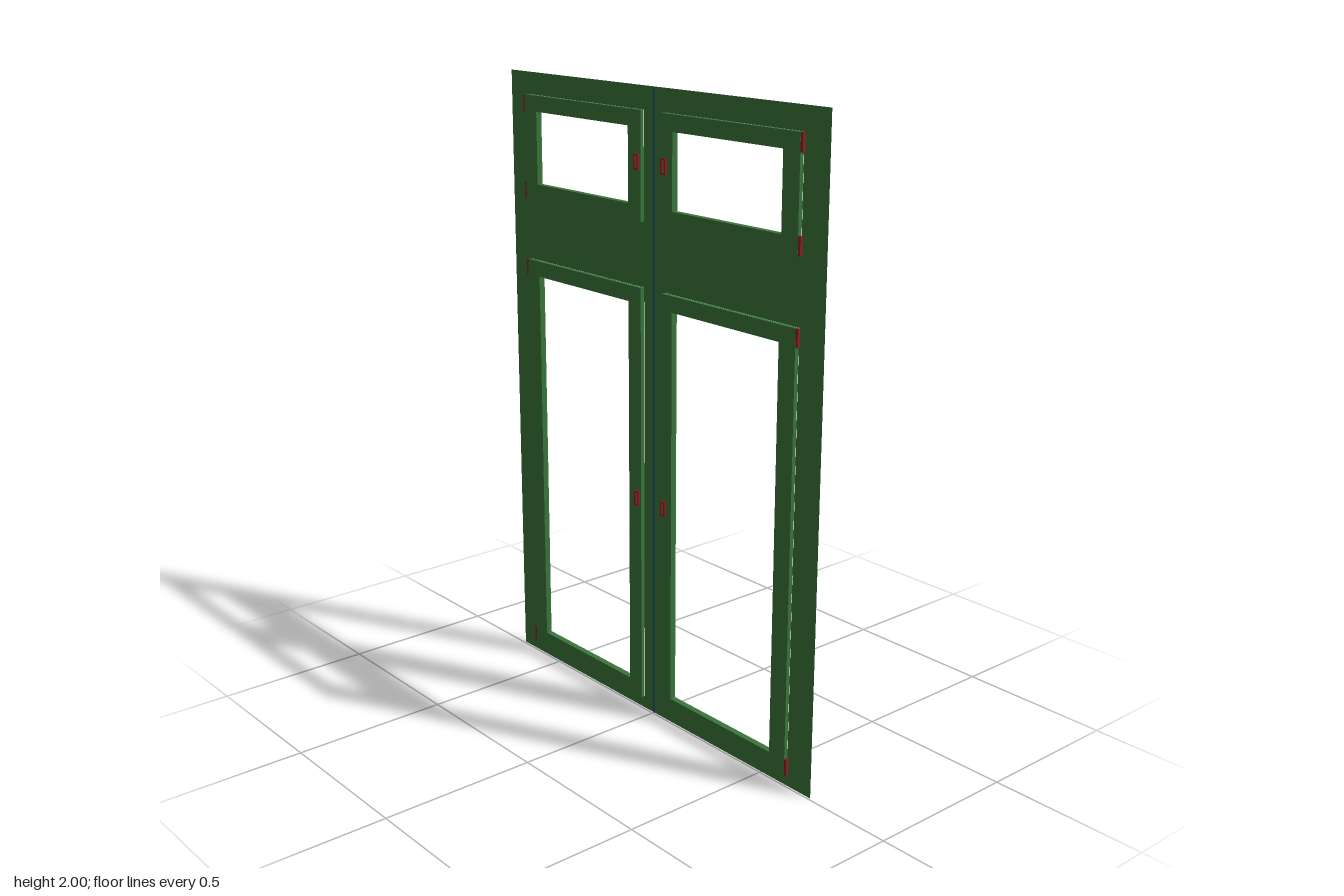
import * as THREE from 'three';

const green = new THREE.MeshStandardMaterial({ color: 0x3a753a, side: THREE.DoubleSide });
const red = new THREE.MeshStandardMaterial({ color: 0x8a2020 });
const blue = new THREE.MeshStandardMaterial({ color: 0x17505f });

// Rectangle outline from left, right, bottom, top
function rect(Type, [l, r, b, t]) {
  const p = new Type();
  p.moveTo(l, b);
  p.lineTo(r, b);
  p.lineTo(r, t);
  p.lineTo(l, t);
  p.closePath();
  return p;
}

function sheet(outer, holes) {
  const s = rect(THREE.Shape, outer);
  for (const h of holes) s.holes.push(rect(THREE.Path, h));
  return s;
}

function inset([l, r, b, t], d) {
  return [l + d, r - d, b + d, t - d];
}

function add(parent, name, geometry, material) {
  const m = new THREE.Mesh(geometry, material);
  m.name = name;
  parent.add(m);
  return m;
}

// Rectangular ring between two depths
function ring(parent, name, outer, hole, z0, z1, material) {
  const g = new THREE.ExtrudeGeometry(sheet(outer, [hole]), { depth: z1 - z0, bevelEnabled: false });
  g.translate(0, 0, z0);
  return add(parent, name, g, material);
}

function box(parent, name, x, y, z, w, h, d, material) {
  add(parent, name, new THREE.BoxGeometry(w, h, d), material).position.set(x, y, z);
}

export function createModel() {
  const model = new THREE.Group();
  model.name = 'doubleWindow';

  const rows = [
    { name: 'lower', b: 0.04, t: 1.4, ob: 0.09, ot: 1.35, handleY: 0.725 },
    { name: 'upper', b: 1.6, t: 1.93, ob: 1.65, ot: 1.88, handleY: 1.778 },
  ];
  const sides = [
    { name: 'Right', l: -0.62, r: -0.047, ol: -0.56, or: -0.105, panel: [-0.707, -0.003], hingeX: -0.624, handleX: -0.063 },
    { name: 'Left', l: 0.048, r: 0.61, ol: 0.096, or: 0.546, panel: [0.003, 0.707], hingeX: 0.614, handleX: 0.061 },
  ];

  for (const s of sides) {
    // Thin fixed frame sheet with an opening for each sash
    const holes = rows.map(r => [s.l, s.r, r.b, r.t]);
    const panel = add(model, 'fixedFrame' + s.name,
      new THREE.ShapeGeometry(sheet([...s.panel, 0, 2], holes)), green);
    panel.position.z = -0.007;

    for (const r of rows) {
      const sash = new THREE.Group();
      sash.name = r.name + 'Sash' + s.name;
      model.add(sash);
      const opening = [s.ol, s.or, r.ob, r.ot];

      // Sash frame and the narrow rim behind its opening
      ring(sash, 'sashFrame', [s.l, s.r, r.b, r.t], opening, -0.006, 0.007, green);
      ring(sash, 'rearRim', inset(opening, -0.007), opening, -0.013, -0.006, green);

      // Hinges at the outer corners
      for (const y of [r.b + 0.027, r.t - 0.027])
        box(sash, 'hinge', s.hingeX, y, 0.002, 0.009, 0.054, 0.009, red);

      // Handle loop in front, escutcheon behind
      const h = [s.handleX - 0.011, s.handleX + 0.011, r.handleY - 0.024, r.handleY + 0.024];
      ring(sash, 'handle', h, inset(h, 0.006), 0.007, 0.013, red);
      ring(sash, 'handleBackPlate', h, inset(h, 0.004), -0.0068, -0.006, green);
    }
  }

  // Centre seam strip between the two halves
  box(model, 'centreStrip', 0, 1, -0.007, 0.007, 2, 0.004, blue);

  return model;
}
